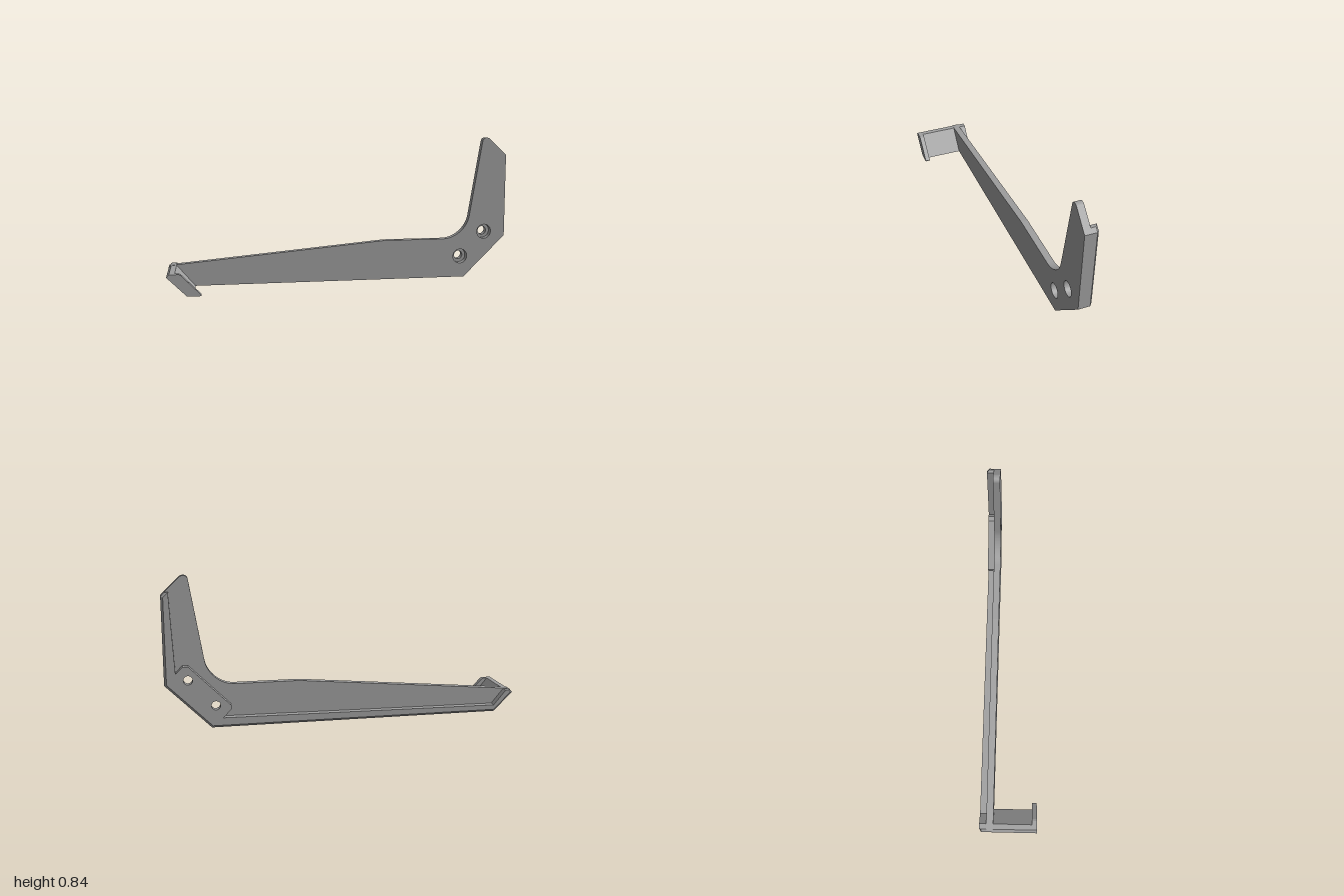
import * as THREE from 'three';

const HOLES = [[0.727, 0.127], [0.873, 0.275]];
const FRONT = -0.085, PLATE_BACK = -0.125, CHAMFER_Z = -0.152, BACK = -0.165;

const polygon = (pts) => new THREE.Shape(pts.map(([x, y]) => new THREE.Vector2(x, y)));

function addHoles(shape, radius) {
  for (const [x, y] of HOLES) {
    const hole = new THREE.Path();
    hole.absarc(x, y, radius, 0, Math.PI * 2, true);
    shape.holes.push(hole);
  }
  return shape;
}

// Extrudes an outline between two depths
function slab(shape, zBack, zFront) {
  const g = new THREE.ExtrudeGeometry(shape, {
    depth: zFront - zBack, bevelEnabled: false, curveSegments: 20,
  });
  g.translate(0, 0, zBack);
  return g;
}

// Pulls the rearmost outer edges inward to form the chamfer
function chamferBack(g, c) {
  const p = g.attributes.position, d = c * Math.SQRT2;
  for (let i = 0; i < p.count; i++) {
    if (p.getZ(i) > BACK + 0.001) continue;
    let x = Math.min(p.getX(i), 1 - c);
    let y = Math.max(p.getY(i), c);
    const over = x - y - (0.752 - d);
    if (over > 0) { if (y < 0.1) x -= over; else y += over; }
    if (x + y > 1.735 - d) y = 1.735 - d - x;
    x = Math.max(x, -0.89 + d - y);
    p.setXY(i, x, y);
  }
  g.computeVertexNormals();
  return g;
}

export function createModel() {
  const group = new THREE.Group();
  group.name = 'bracket';
  const grey = new THREE.MeshStandardMaterial({ color: 0xa0a0a0 });
  grey.name = 'grey';
  const add = (name, geometry) => {
    const mesh = new THREE.Mesh(geometry, grey);
    mesh.name = name;
    group.add(mesh);
  };

  // Flat L-shaped plate with wide counterbores
  const plate = new THREE.Shape();
  plate.moveTo(-1, 0.11);
  plate.lineTo(-0.89, 0);
  plate.lineTo(0.752, 0);
  plate.lineTo(1, 0.248);
  plate.lineTo(1, 0.735);
  plate.lineTo(0.9, 0.832);
  plate.bezierCurveTo(0.885, 0.844, 0.857, 0.845, 0.853, 0.815);
  plate.lineTo(0.78, 0.37);
  plate.bezierCurveTo(0.767, 0.296, 0.695, 0.235, 0.62, 0.235);
  plate.lineTo(0.26, 0.235);
  plate.lineTo(-0.985, 0.125);
  plate.quadraticCurveTo(-1, 0.124, -1, 0.11);
  add('plate', slab(addHoles(plate, 0.043), PLATE_BACK, FRONT));

  // Rear rim along the outer edges, joined to the screw boss
  const rim = () => addHoles(polygon([
    [-1, 0.11], [-0.89, 0], [0.752, 0], [1, 0.248], [1, 0.735], [0.98, 0.755],
    [0.96, 0.755], [0.938, 0.312], [0.9, 0.35], [0.87, 0.35], [0.645, 0.125],
    [0.645, 0.1], [0.69, 0.055], [-0.884, 0.04], [-0.955, 0.125], [-0.985, 0.125],
  ]), 0.025);
  add('rimAndBoss', slab(rim(), CHAMFER_Z, PLATE_BACK));
  add('rimChamfer', chamferBack(slab(rim(), BACK, CHAMFER_Z), 0.013));

  // Slanted arm reaching forward, ending in a hooked lip
  const outer = [[-0.955, 0.125], [-0.985, 0.125], [-1, 0.11], [-0.89, 0]];
  add('arm', slab(polygon([...outer, [-0.85, 0]]), FRONT, 0.137));
  add('armLip', slab(polygon([
    ...outer, [-0.815, 0], [-0.812, 0.006], [-0.922, 0.12], [-0.932, 0.125],
  ]), 0.137, 0.165));

  return group;
}
